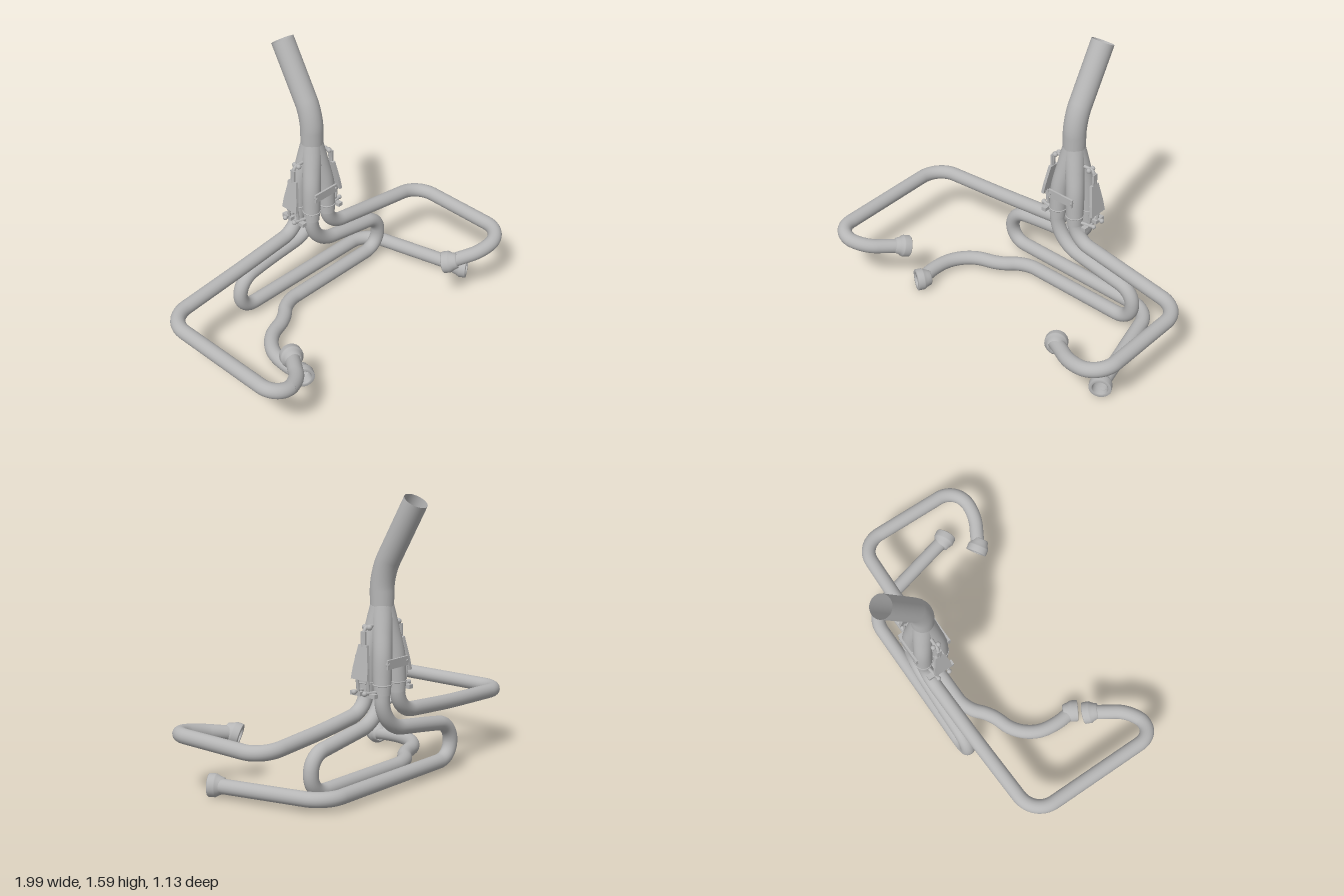
import * as THREE from 'three';

const V = (x, y, z) => new THREE.Vector3(x, y, z);
const steel = new THREE.MeshStandardMaterial({ color: 0xb6b6b6, side: THREE.DoubleSide });
steel.name = 'steel';

const CX = 0.13, CZ = -0.29; // collector axis
const PIPE = 0.041;

function add(group, name, geometry) {
  const mesh = new THREE.Mesh(geometry, steel);
  mesh.name = name;
  group.add(mesh);
  return mesh;
}

// Straight runs joined by rounded bends; each point is [x, y, z, bend length]
function bentPath(points) {
  const path = new THREE.CurvePath();
  const p = points.map(a => V(a[0], a[1], a[2]));
  let from = p[0];
  for (let i = 1; i < p.length - 1; i++) {
    const d = points[i][3];
    const a = p[i].clone().add(p[i - 1].clone().sub(p[i]).setLength(d));
    const b = p[i].clone().add(p[i + 1].clone().sub(p[i]).setLength(d));
    if (from.distanceTo(a) > 1e-4) path.add(new THREE.LineCurve3(from, a));
    path.add(new THREE.CubicBezierCurve3(a, a.clone().lerp(p[i], 0.58), b.clone().lerp(p[i], 0.58), b));
    from = b;
  }
  path.add(new THREE.LineCurve3(from, p[p.length - 1]));
  return path;
}

// Tube whose radius follows a list of evenly spaced values
function taperedTube(curve, radii, segments) {
  const sides = 24;
  const g = new THREE.TubeGeometry(curve, segments, 1, sides, false);
  const pos = g.attributes.position, nor = g.attributes.normal;
  for (let i = 0; i < pos.count; i++) {
    const t = Math.floor(i / (sides + 1)) / segments * (radii.length - 1);
    const k = Math.min(Math.floor(t), radii.length - 2);
    const move = THREE.MathUtils.lerp(radii[k], radii[k + 1], t - k) - 1;
    pos.setXYZ(i, pos.getX(i) + nor.getX(i) * move, pos.getY(i) + nor.getY(i) * move, pos.getZ(i) + nor.getZ(i) * move);
  }
  return g;
}

// Straight round bar between two points
function rod(group, name, a, b, r) {
  add(group, name, new THREE.TubeGeometry(new THREE.LineCurve3(a, b), 1, r, 10));
}

// Hollow flared port collar
function collar(group, name, at, dir) {
  const profile = [[0.036, -0.055], [0.044, -0.05], [0.05, -0.03], [0.06, -0.012], [0.063, -0.006],
    [0.063, 0.028], [0.061, 0.032], [0.046, 0.033], [0.043, 0.03], [0.04, -0.02]]
    .map(a => new THREE.Vector2(a[0], a[1]));
  const m = add(group, name, new THREE.LatheGeometry(profile, 28));
  m.position.copy(at);
  m.quaternion.setFromUnitVectors(V(0, 1, 0), dir.normalize());
}

export function createModel() {
  const model = new THREE.Group();
  model.name = 'exhaustHeader';

  // Four header pipes, each from the collector to its port
  const pipes = [
    { name: 'upperLeftPipe', dir: V(-0.5, -0.3, -0.8), pts: [
      [0.19, 0.62, -0.235], [0.19, 0.445, -0.235, 0.12], [0.52, 0.4, -0.23, 0.1], [0.955, 0.355, -0.21, 0.13],
      [0.95, 0.352, 0.46, 0.12], [0.76, 0.32, 0.475, 0.08], [0.575, 0.285, 0.37]] },
    { name: 'upperRightPipe', dir: V(0.45, -0.3, -0.8), pts: [
      [0.07, 0.62, -0.345], [0.06, 0.43, -0.345, 0.12], [-0.4, 0.39, -0.33, 0.1], [-0.955, 0.36, -0.305, 0.14],
      [-0.955, 0.352, 0.54, 0.12], [-0.77, 0.315, 0.51, 0.09], [-0.63, 0.28, 0.315]] },
    { name: 'lowerRightPipe', dir: V(-0.5, 0, 0.85), pts: [
      [0.065, 0.62, -0.235], [0.065, 0.37, -0.235, 0.17], [0.45, 0.31, -0.23, 0.08], [0.615, 0.285, -0.23, 0.085],
      [0.63, 0.075, -0.23, 0.12], [-0.16, 0.075, -0.225, 0.08], [-0.27, 0.075, -0.12, 0.06], [-0.5, 0.075, -0.045, 0.14],
      [-0.54, 0.075, 0.16, 0.06], [-0.525, 0.07, 0.285]] },
    { name: 'lowerLeftPipe', dir: V(0.5, 0, 0.85), pts: [
      [0.195, 0.62, -0.345], [0.195, 0.36, -0.35, 0.16], [-0.16, 0.315, -0.36, 0.08], [-0.38, 0.28, -0.36, 0.1],
      [-0.39, 0.075, -0.36, 0.11], [0.65, 0.075, -0.36, 0.12], [0.815, 0.07, 0.28]] },
  ];
  for (const { name, dir, pts } of pipes) {
    add(model, name, new THREE.TubeGeometry(bentPath(pts), 200, PIPE, 20));
    collar(model, name + 'Collar', V(...pts[pts.length - 1]), dir);
  }

  // Collector: four sleeves merging into one outlet
  const collector = new THREE.Group();
  collector.name = 'collector';
  model.add(collector);
  for (const sx of [-1, 1]) for (const sz of [-1, 1]) {
    const curve = new THREE.CatmullRomCurve3([[0.062, 0.545], [0.06, 0.62], [0.053, 0.75], [0.031, 0.87], [0.01, 0.97], [0, 1.02]]
      .map(([d, y]) => V(CX + sx * d, y, CZ + sz * d * 0.9)));
    add(collector, 'collectorSleeve', taperedTube(curve, [0.044, 0.05, 0.052, 0.052, 0.054, 0.058, 0.06], 36));
    const weld = add(collector, 'sleeveWeld', new THREE.TorusGeometry(0.049, 0.004, 8, 24));
    weld.rotation.x = Math.PI / 2;
    weld.position.set(CX + sx * 0.06, 0.6, CZ + sz * 0.054);
  }
  add(collector, 'outletPipe', taperedTube(
    bentPath([[CX, 0.93, CZ], [CX, 1.18, CZ, 0.09], [CX, 1.57, -0.51]]), [0.06, 0.065, 0.065, 0.065, 0.065, 0.065], 60));

  // Plain tie plates across the front and back of the sleeves
  for (const s of [-1, 1]) {
    const plate = add(collector, 'tiePlate', new THREE.BoxGeometry(0.17, 0.05, 0.012));
    plate.position.set(CX, 0.715, CZ + s * 0.107);
    for (const dx of [-0.075, 0.075]) {
      const rivet = add(collector, 'plateRivet', new THREE.CylinderGeometry(0.009, 0.009, 0.022, 10));
      rivet.rotation.x = Math.PI / 2;
      rivet.position.set(CX + dx, 0.715, CZ + s * 0.107);
    }
  }

  // Spring clamps on both sides of the collector
  const shieldShape = new THREE.Shape([[-0.056, -0.095], [0.056, -0.095], [0.05, -0.03], [0.028, 0.09], [-0.028, 0.09], [-0.05, -0.03]]
    .map(a => new THREE.Vector2(a[0], a[1])));
  for (const s of [-1, 1]) {
    const clamp = new THREE.Group();
    clamp.name = s > 0 ? 'leftSpringClamp' : 'rightSpringClamp';
    model.add(clamp);
    const at = (d, y, z) => V(CX + s * d, y, CZ + z);
    add(clamp, 'topHook', new THREE.TubeGeometry(
      bentPath([[CX + s * 0.05, 0.91, CZ], [CX + s * 0.142, 0.91, CZ, 0.025], [CX + s * 0.15, 0.81, CZ]]), 24, 0.01, 10));
    for (const z of [-0.016, 0.016]) {
      const knob = add(clamp, 'hookKnob', new THREE.SphereGeometry(0.015, 12, 8));
      knob.position.copy(at(0.12, 0.908, z));
    }
    const stem = add(clamp, 'stem', new THREE.BoxGeometry(0.012, 0.09, 0.03));
    stem.position.copy(at(0.15, 0.845, 0));

    // Tilted shield
    const shield = add(clamp, 'springShield', new THREE.ExtrudeGeometry(shieldShape, { depth: 0.018, bevelEnabled: false }).translate(0, 0, -0.009));
    shield.position.copy(at(0.162, 0.732, 0));
    shield.rotation.order = 'ZYX';
    shield.rotation.set(0, Math.PI / 2, s * 0.16);

    // Lower rods and sleeve brackets
    for (const z of [-0.036, 0.036]) {
      rod(clamp, 'springRod', at(0.16, 0.66, z), at(0.148, 0.555, z), 0.009);
      rod(clamp, 'bracketPin', at(0.09, 0.562, z * 1.35), at(0.19, 0.57, z), 0.01);
      const foot = add(clamp, 'sleeveBracket', new THREE.BoxGeometry(0.03, 0.022, 0.07));
      foot.position.copy(at(0.145, 0.555, z * 1.35));
      const nut = add(clamp, 'pinNut', new THREE.SphereGeometry(0.014, 12, 8));
      nut.position.copy(at(0.182, 0.568, z));
    }
  }
  return model;
}
